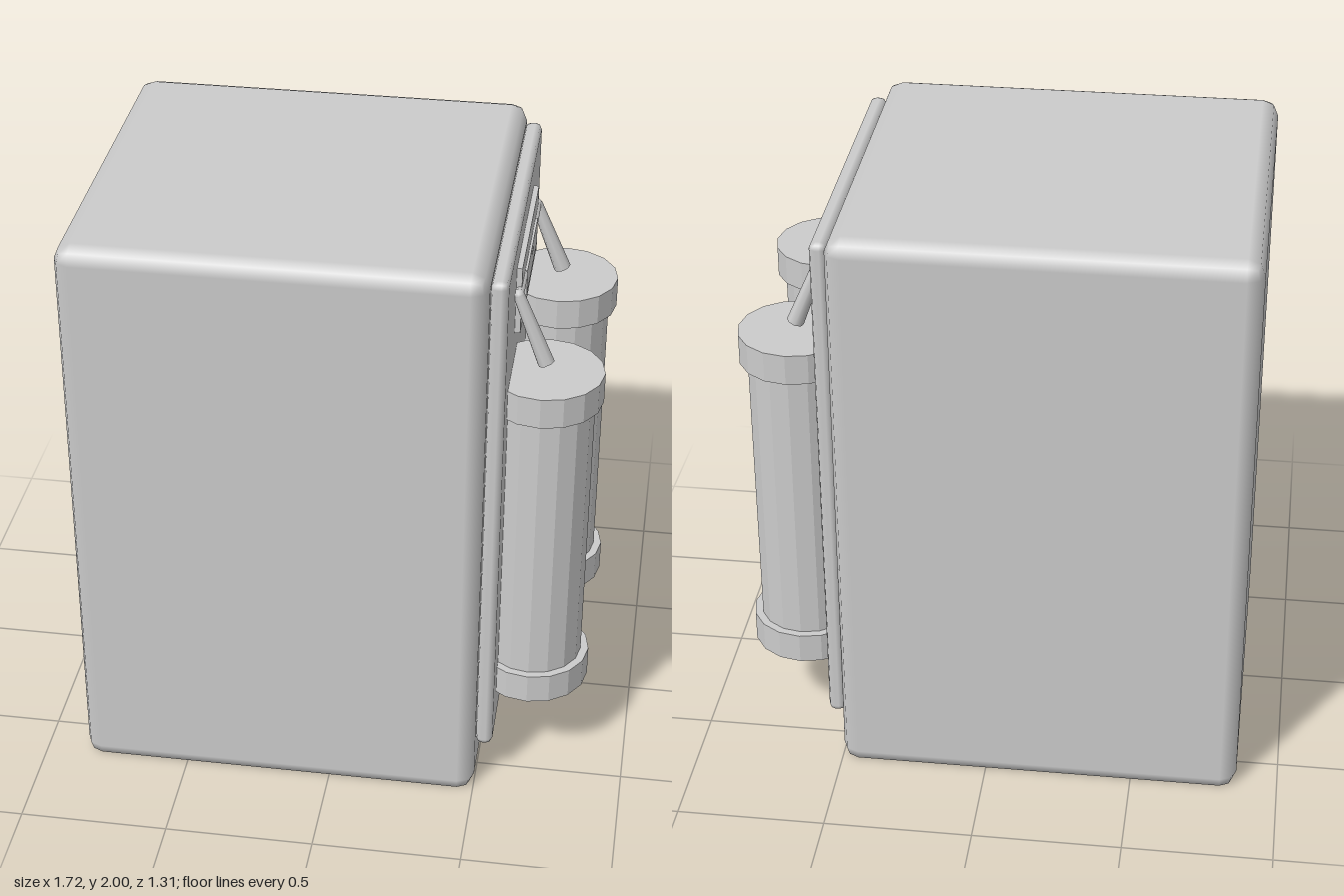
import * as THREE from 'three';
import { RoundedBoxGeometry } from 'three/addons/geometries/RoundedBoxGeometry.js';

const smooth = new THREE.MeshStandardMaterial({ color: 0xcccccc, side: THREE.DoubleSide });
const faceted = new THREE.MeshStandardMaterial({ color: 0xcccccc, side: THREE.DoubleSide, flatShading: true });

function add(parent, name, geometry, material, x = 0, y = 0, z = 0) {
  const mesh = new THREE.Mesh(geometry, material);
  mesh.name = name;
  mesh.position.set(x, y, z);
  parent.add(mesh);
  return mesh;
}

// Rounded box whose underside face is left out
function openBottomBox(w, h, d, r) {
  const source = new RoundedBoxGeometry(w, h, d, 1, r);
  const perFace = source.attributes.position.count / 6;
  const geometry = new THREE.BufferGeometry();
  for (const name of ['position', 'normal']) {
    const a = Array.from(source.attributes[name].array);
    a.splice(3 * perFace * 3, perFace * 3);
    geometry.setAttribute(name, new THREE.Float32BufferAttribute(a, 3));
  }
  return geometry;
}

// Tapered open pipe between two points
function pipe(parent, name, from, to, r0, r1) {
  const dir = to.clone().sub(from);
  const mesh = add(parent, name, new THREE.CylinderGeometry(r1, r0, dir.length(), 8, 1, true), smooth);
  mesh.position.copy(from).add(to).multiplyScalar(0.5);
  mesh.quaternion.setFromUnitVectors(new THREE.Vector3(0, 1, 0), dir.normalize());
}

// Cap: closed on top, open below
function cap(r, h) {
  return new THREE.LatheGeometry(
    [new THREE.Vector2(r, -h / 2), new THREE.Vector2(r, h / 2), new THREE.Vector2(0, h / 2)], 16);
}

export function createModel() {
  const model = new THREE.Group();
  model.name = 'backpackUnit';

  // Main housing and the panel on its side
  add(model, 'housing', openBottomBox(1.36, 2.016, 1.31, 0.055), smooth, -0.18, 0.992, 0);
  add(model, 'sidePanel', new RoundedBoxGeometry(0.057, 1.805, 1.165, 1, 0.022), smooth, 0.5265, 1.0525, 0);

  // Valve plate with its raised block and slot
  add(model, 'valvePlate', new THREE.BoxGeometry(0.03, 0.235, 0.58), faceted, 0.558, 1.7375, 0);
  add(model, 'valveBlock', new THREE.BoxGeometry(0.03, 0.09, 0.36), faceted, 0.566, 1.745, 0);
  add(model, 'valveSlot', new THREE.BoxGeometry(0.01, 0.006, 0.05), faceted, 0.578, 1.767, 0);

  // Paired tanks with caps and feed pipes
  for (const side of [1, -1]) {
    const tank = new THREE.Group();
    tank.name = side > 0 ? 'frontTank' : 'rearTank';
    const z = side * 0.318;
    add(tank, 'tankBody', new THREE.CylinderGeometry(0.165, 0.165, 1.02, 16, 1, true), faceted, 0.663, 0.905, z);
    add(tank, 'topCap', cap(0.192, 0.105), faceted, 0.663, 1.4575, z);
    add(tank, 'bottomCap', cap(0.192, 0.105), faceted, 0.663, 0.3525, z);
    const elbow = new THREE.Vector3(0.566, 1.775, side * 0.315);
    pipe(tank, 'feedPipeUpper', new THREE.Vector3(0.572, 1.777, side * 0.18), elbow, 0.011, 0.016);
    add(tank, 'pipeElbow', new THREE.SphereGeometry(0.019, 8, 6), smooth, elbow.x, elbow.y, elbow.z);
    pipe(tank, 'feedPipeLower', elbow, new THREE.Vector3(0.663, 1.536, side * 0.32), 0.02, 0.029);
    model.add(tank);
  }
  return model;
}
